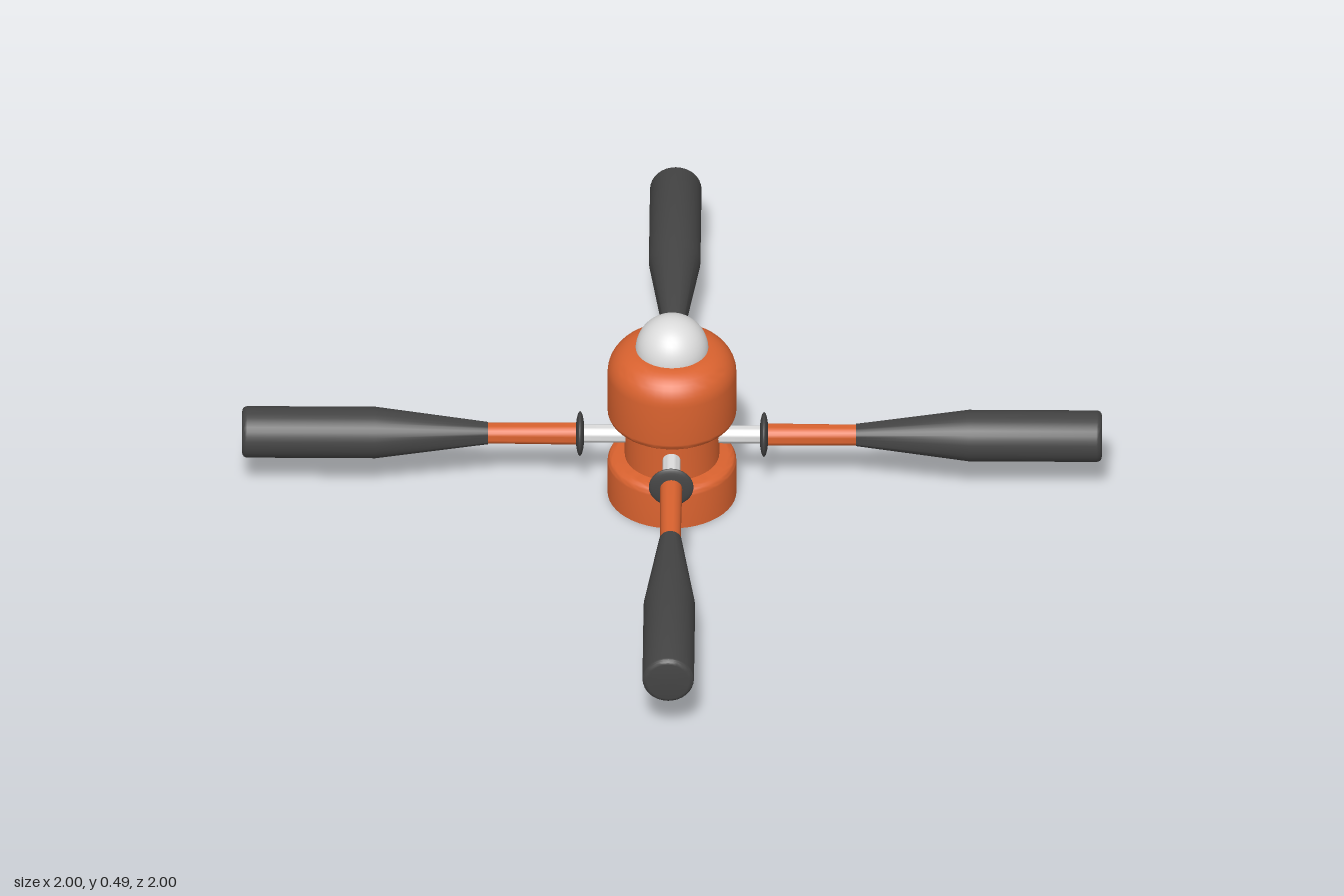
import * as THREE from 'three';
import { toCreasedNormals } from 'three/addons/utils/BufferGeometryUtils.js';

const material = (name, color) => {
  const m = new THREE.MeshStandardMaterial({ color });
  m.name = name;
  return m;
};

// Quarter-round edge on a profile, from angle a to angle b (degrees)
function arc(cx, cy, r, a, b, steps = 6) {
  return Array.from({ length: steps + 1 }, (_, i) => {
    const t = THREE.MathUtils.degToRad(a + (b - a) * i / steps);
    return [cx + r * Math.cos(t), cy + r * Math.sin(t)];
  });
}

// Turned part with crisp edges; the profile runs from bottom to top
function turned(name, profile, mat, segments = 48) {
  const points = profile.map(([r, y]) => new THREE.Vector2(Math.max(r, 0), y));
  const geometry = toCreasedNormals(new THREE.LatheGeometry(points, segments), 0.6);
  const mesh = new THREE.Mesh(geometry, mat);
  mesh.name = name;
  return mesh;
}

export function createModel() {
  const orange = material('orange paint', 0xd9622f);
  const grey = material('dark grip', 0x444444);
  const silver = material('pale metal', 0xdcdcdc);
  const model = new THREE.Group();
  model.name = 'capstan';

  // Central body: base, waist and rounded head
  model.add(turned('base', [[0, 0], [0.15, 0], ...arc(0.13, 0.088, 0.02, 0, 90), [0, 0.108]], orange));
  model.add(turned('waist', [[0.11, 0.1], [0.11, 0.225]], orange));
  model.add(turned('head', [
    [0, 0.215], ...arc(0.13, 0.235, 0.02, -90, 0),
    ...arc(0.08, 0.34, 0.07, 0, 90, 10), [0, 0.41],
  ], orange));

  // Cap dome
  const dome = new THREE.Mesh(new THREE.SphereGeometry(0.085, 40, 24), silver);
  dome.name = 'dome';
  dome.position.y = 0.405;
  model.add(dome);

  // Four identical bars
  for (let i = 0; i < 4; i++) {
    const bar = new THREE.Group();
    bar.name = 'bar' + (i + 1);
    const parts = new THREE.Group();
    parts.name = 'barParts';
    parts.rotation.z = -Math.PI / 2;
    parts.add(turned('rod', [[0.021, 0.08], [0.021, 0.23]], silver, 24));
    parts.add(turned('shaft', [[0, 0.212], [0.026, 0.212], [0.024, 0.44]], orange, 24));
    parts.add(turned('grip', [
      [0, 0.428], [0.026, 0.428], [0.06, 0.69],
      ...arc(0.048, 0.988, 0.012, 0, 90, 4), [0, 1],
    ], grey, 32));

    // Lens-shaped collar
    const collar = new THREE.Mesh(new THREE.SphereGeometry(0.052, 32, 16), grey);
    collar.name = 'collar';
    collar.scale.y = 0.2;
    collar.position.y = 0.214;
    parts.add(collar);

    bar.add(parts);
    bar.position.y = 0.163;
    bar.rotation.y = i * Math.PI / 2;
    model.add(bar);
  }
  return model;
}
